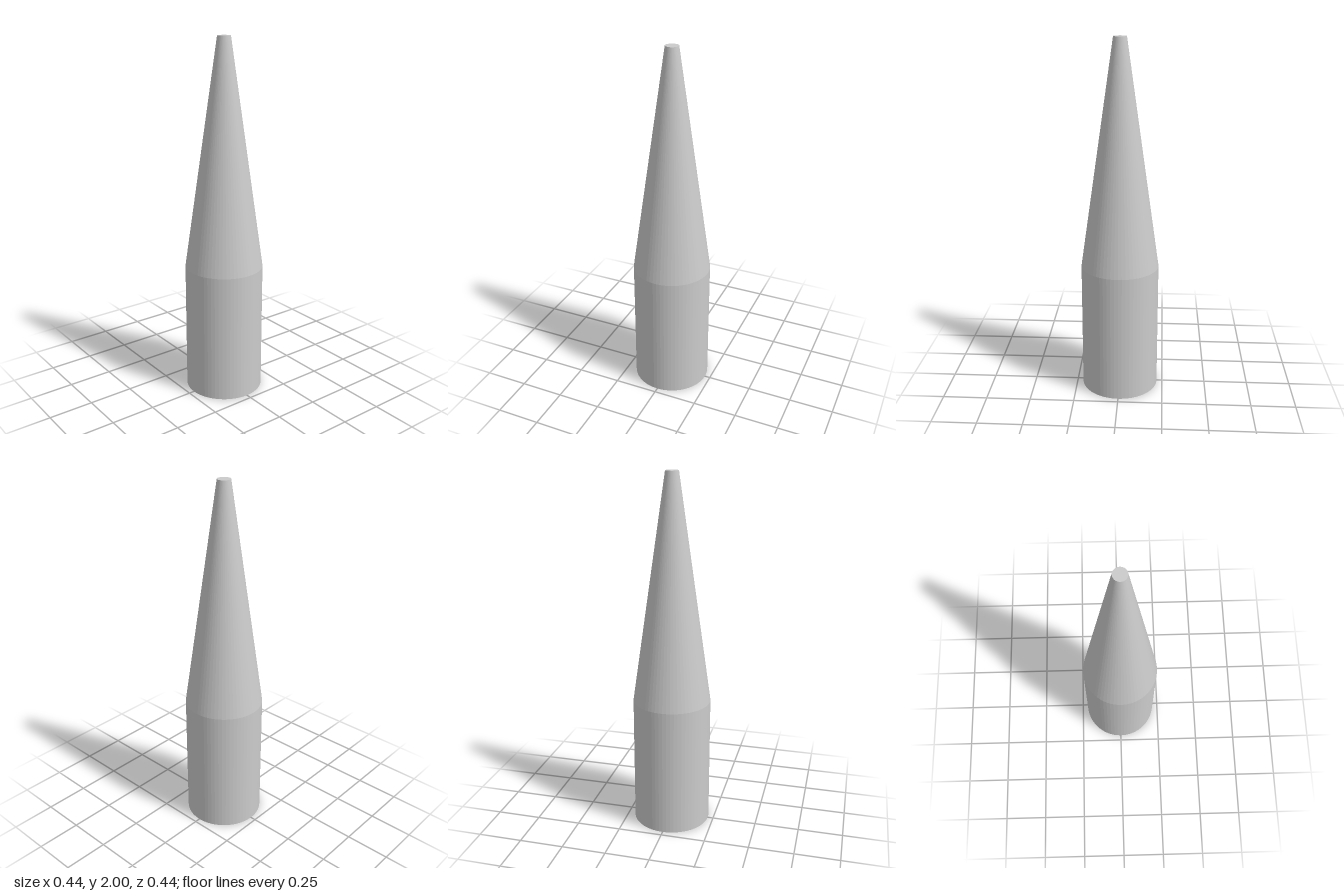
import * as THREE from 'three';

const SEGMENTS = 64;
const RADIUS = 0.218;     // barrel
const TIP_RADIUS = 0.036; // flat tip
const SHOULDER = 0.735;   // height where the taper starts
const HEIGHT = 2;
const WALL = 0.016;

export function createModel() {
  const group = new THREE.Group();
  group.name = 'taperedNozzle';
  const material = new THREE.MeshStandardMaterial({ color: 0xcccccc, flatShading: true });

  const addLathe = (name, profile) => {
    const points = profile.map(([r, y]) => new THREE.Vector2(r, y));
    const mesh = new THREE.Mesh(new THREE.LatheGeometry(points, SEGMENTS), material);
    mesh.name = name;
    group.add(mesh);
  };

  // Outer skin: barrel, cone and closed flat tip
  addLathe('outerShell', [[RADIUS, 0], [RADIUS, SHOULDER], [TIP_RADIUS, HEIGHT], [0, HEIGHT]]);

  // Hollow inside, profile running downwards so it faces inwards
  const inner = RADIUS - WALL;
  const innerTip = TIP_RADIUS - WALL;
  addLathe('innerBore', [[0, HEIGHT - WALL], [innerTip, HEIGHT - WALL], [inner, SHOULDER], [inner, 0]]);

  // Rim ring around the open bottom
  addLathe('bottomRim', [[inner, 0], [RADIUS, 0]]);

  return group;
}
